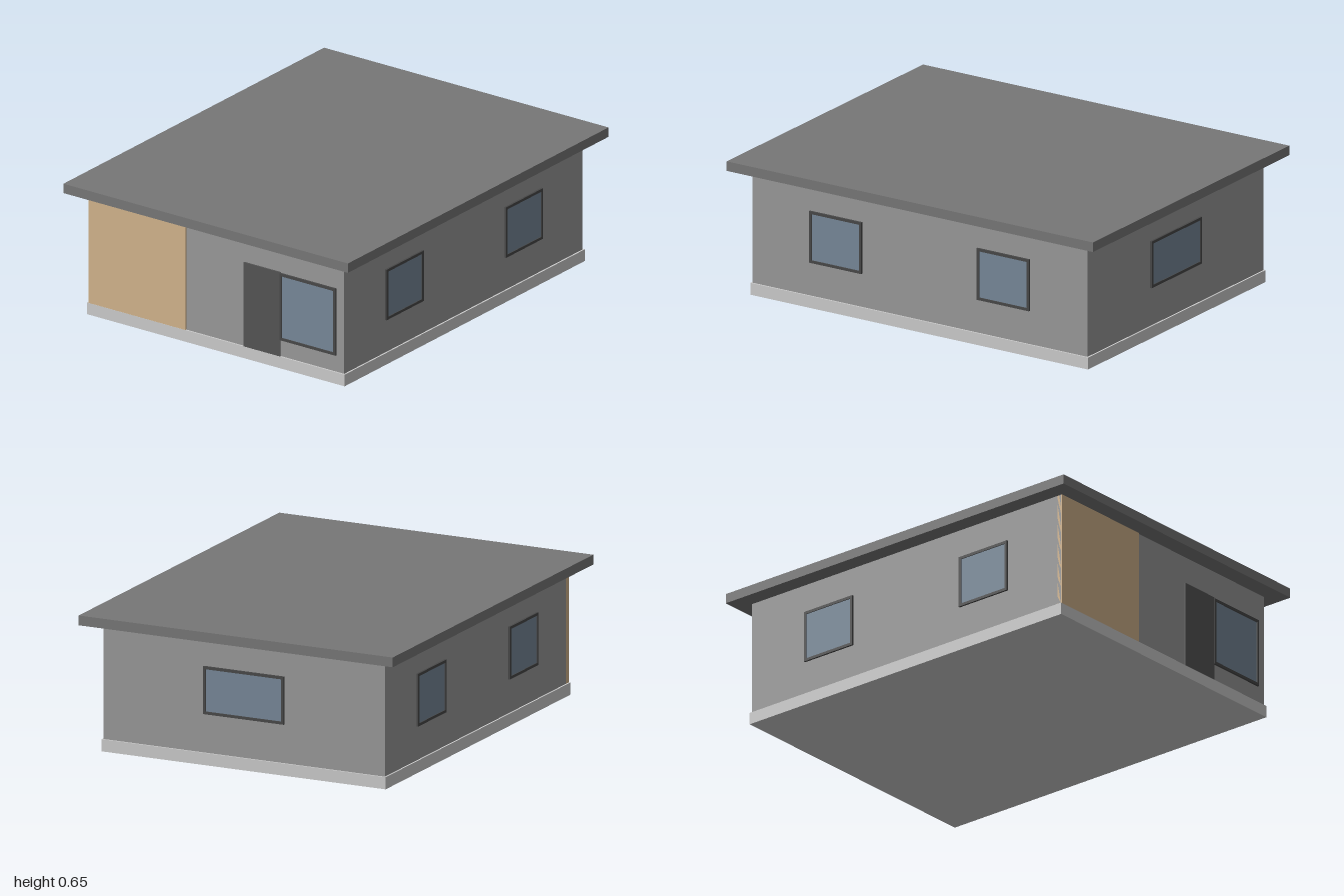
import * as THREE from 'three';

const mat = (color) => new THREE.MeshStandardMaterial({ color });

export function createModel() {
  const house = new THREE.Group();
  house.name = 'house';
  const grey = mat(0xcccccc), wall = mat(0x999999), roofing = mat(0x777777);
  const wood = mat(0xd2b48c), dark = mat(0x555555), trim = mat(0x484848), glass = mat(0x778899);

  // Box given by its lower and upper corners
  function box(parent, name, material, [x0, y0, z0], [x1, y1, z1]) {
    const mesh = new THREE.Mesh(new THREE.BoxGeometry(x1 - x0, y1 - y0, z1 - z0), material);
    mesh.position.set((x0 + x1) / 2, (y0 + y1) / 2, (z0 + z1) / 2);
    mesh.name = name;
    parent.add(mesh);
    return mesh;
  }

  const W = 0.716, D = 0.914; // half width and half depth of the walls

  // Main volumes
  box(house, 'foundation', grey, [-0.724, 0, -0.922], [0.724, 0.057, 0.922]);
  box(house, 'walls', wall, [-W, 0.057, -D], [W, 0.602, D]);
  box(house, 'roof', roofing, [-0.8, 0.602, -1], [0.8, 0.648, 1]);

  // Front cladding and door
  box(house, 'woodPanel', wood, [-W, 0.057, D - 0.02], [-0.172, 0.602, 0.921]);
  box(house, 'door', dark, [0.155, 0.057, D - 0.02], [0.359, 0.47, 0.921]);

  // Framed window, built facing +z with its wall surface at z = 0
  function addWindow(name, w, h, x, y, z, turn) {
    const g = new THREE.Group();
    g.name = name;
    const a = w / 2, b = h / 2, t = 0.013, out = 0.009;
    const shape = new THREE.Shape([
      new THREE.Vector2(-a, -b), new THREE.Vector2(a, -b),
      new THREE.Vector2(a, b), new THREE.Vector2(-a, b)]);
    shape.holes.push(new THREE.Path([
      new THREE.Vector2(-a + t, -b + t), new THREE.Vector2(-a + t, b - t),
      new THREE.Vector2(a - t, b - t), new THREE.Vector2(a - t, -b + t)]));
    const frame = new THREE.Mesh(
      new THREE.ExtrudeGeometry(shape, { depth: out + 0.01, bevelEnabled: false }), trim);
    frame.position.z = -0.01;
    frame.name = 'windowFrame';
    g.add(frame);
    box(g, 'windowPane', glass, [-a + t, -b + t, -0.01], [a - t, b - t, 0.005]);
    g.position.set(x, y, z);
    g.rotation.y = turn;
    house.add(g);
  }

  addWindow('frontWindow', 0.315, 0.328, 0.515, 0.302, D, 0);
  addWindow('backWindow', 0.41, 0.225, 0, 0.352, -D, Math.PI);
  for (const side of [-1, 1])
    for (const z of [-0.458, 0.458])
      addWindow('sideWindow', 0.285, 0.248, side * W, 0.341, z, side * Math.PI / 2);

  return house;
}
